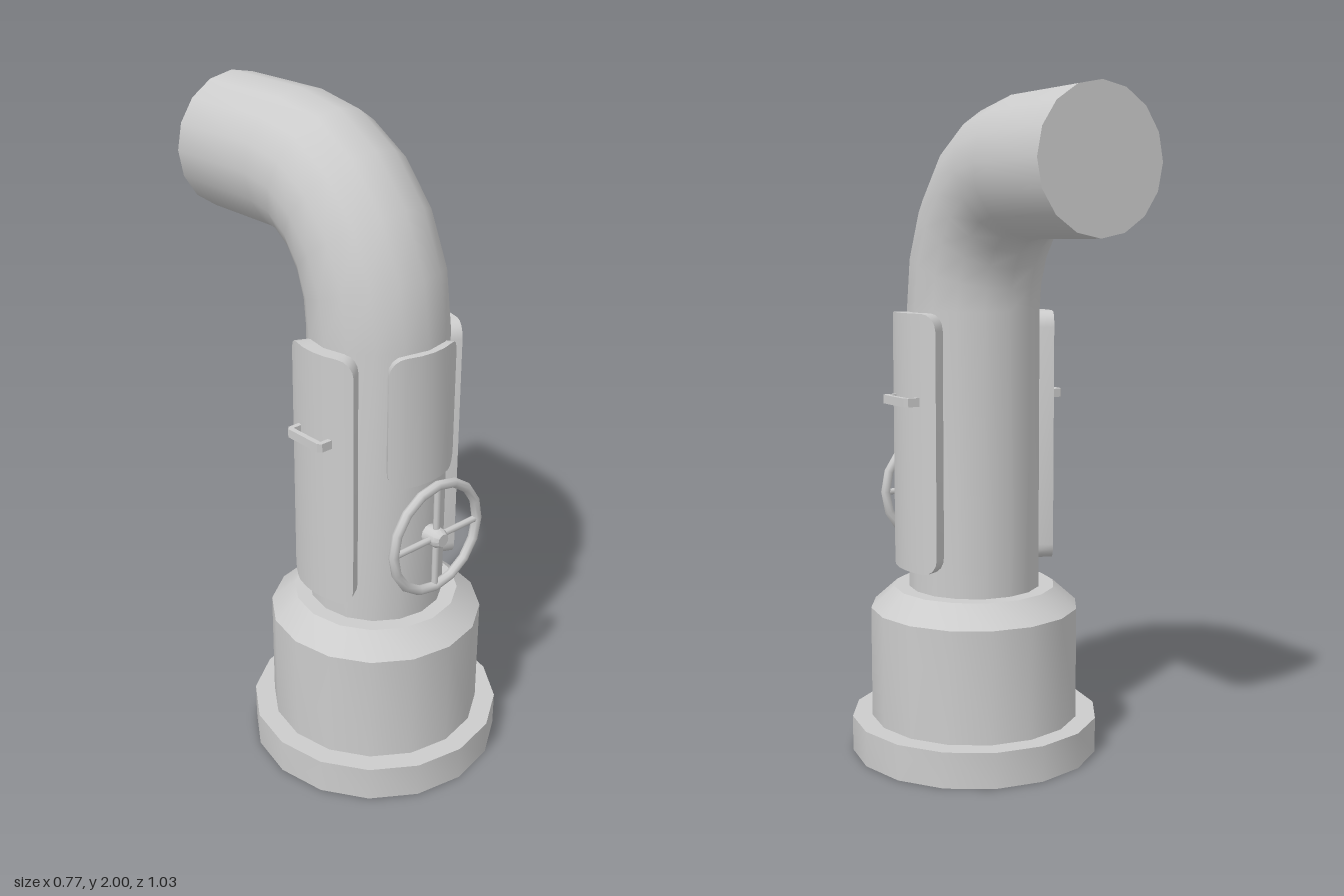
import * as THREE from 'three';
import { toCreasedNormals } from 'three/addons/utils/BufferGeometryUtils.js';

const SIDES = 16;
const AXIS_Z = 0.13; // the upright column stands forward of centre
const PIPE_R = 0.205;

// Solid from equal-length convex rings, each counter-clockwise about the travel direction
function loft(rings, crease = 0.6) {
  const n = rings[0].length, index = [];
  for (let k = 0; k < rings.length - 1; k++) {
    for (let i = 0; i < n; i++) {
      const a = k * n + i, b = k * n + (i + 1) % n;
      index.push(a, b, b + n, a, b + n, a + n);
    }
  }
  const last = (rings.length - 1) * n;
  for (let i = 1; i < n - 1; i++) index.push(0, i + 1, i, last, last + i, last + i + 1);
  const geo = new THREE.BufferGeometry();
  geo.setAttribute('position', new THREE.Float32BufferAttribute(rings.flat(2), 3));
  geo.setIndex(index);
  return toCreasedNormals(geo, crease);
}

// Upright pipe, elbow and horizontal outlet
function pipeGeometry() {
  const cy = 1.38, cz = -0.2, a = AXIS_Z - cz, b = 0.415, steps = 5;
  const ring = (phi, dy, dz) => Array.from({ length: SIDES }, (_, i) => {
    const t = (i / SIDES) * Math.PI * 2, out = PIPE_R * Math.cos(t);
    return [
      PIPE_R * Math.sin(t),
      cy + dy + (b + out) * Math.sin(phi),
      cz + dz + (a + out) * Math.cos(phi),
    ];
  });
  const rings = [ring(0, 0.5 - cy, 0)];
  for (let k = 0; k <= steps; k++) rings.push(ring((k / steps) * Math.PI / 2, 0, 0));
  rings.push(ring(Math.PI / 2, 0, -0.515 - cz));
  return loft(rings);
}

// Curved plate with rounded corners, wrapped round the column and facing +z
function panelGeometry(rOut, halfWidth, y0, y1) {
  const rIn = 0.19, c = 0.05, half = Math.asin(halfWidth / rOut), w = half * rOut;
  const left = [];
  for (let k = 0; k <= 4; k++) {
    const t = (k / 4) * Math.PI / 2;
    left.push([-w + c * (1 - Math.cos(t)), c * (1 - Math.sin(t))]);
  }
  const middle = [-0.5, 0, 0.5].map((f) => [f * (w - c), 0]);
  const right = left.map(([u, inset]) => [-u, inset]).reverse();
  return loft([...left, ...middle, ...right].map(([u, inset]) => {
    const s = Math.sin(u / rOut), co = Math.cos(u / rOut);
    const top = y1 - inset, bottom = y0 + inset;
    return [
      [rOut * s, top, rOut * co], [rOut * s, bottom, rOut * co],
      [rIn * s, bottom, rIn * co], [rIn * s, top, rIn * co],
    ];
  }));
}

// Flat U-shaped grab handle reaching out along +x
function handleGeometry() {
  const shape = new THREE.Shape([
    [0.23, -0.073], [0.272, -0.073], [0.282, -0.063], [0.282, 0.063], [0.272, 0.073], [0.23, 0.073],
    [0.23, 0.058], [0.266, 0.058], [0.266, -0.058], [0.23, -0.058],
  ].map(([x, y]) => new THREE.Vector2(x, y)));
  const geo = new THREE.ExtrudeGeometry(shape, { depth: 0.026, bevelEnabled: false });
  return geo.translate(0, 0, -0.013).rotateX(Math.PI / 2);
}

export function createModel() {
  const group = new THREE.Group();
  const material = new THREE.MeshStandardMaterial({ color: 0xcccccc });
  const add = (name, geo, parent = group) => {
    const mesh = new THREE.Mesh(geo, material);
    mesh.name = name;
    parent.add(mesh);
    return mesh;
  };

  // Stepped base: flange, drum and chamfered collar
  const profile = [
    [0, 0], [0.387, 0], [0.387, 0.11], [0.325, 0.11], [0.325, 0.457], [0.252, 0.522], [0, 0.522],
  ].map(([r, y]) => new THREE.Vector2(r, y));
  const base = add('base', toCreasedNormals(new THREE.LatheGeometry(profile, SIDES), 0.6));
  base.position.z = AXIS_Z;

  add('bentPipe', pipeGeometry());

  // Plates round the column
  const front = add('frontPanel', panelGeometry(0.225, 0.13, 0.975, 1.375));
  front.position.z = AXIS_Z;
  for (const [side, sign] of [['left', 1], ['right', -1]]) {
    const panel = add(side + 'Panel', panelGeometry(0.247, 0.13, 0.595, 1.375));
    panel.position.z = AXIS_Z;
    panel.rotation.y = sign * Math.PI / 2;
    const handle = add(side + 'Handle', handleGeometry());
    handle.position.set(0, 1.115, AXIS_Z - 0.003);
    if (sign < 0) handle.rotation.y = Math.PI;
  }

  // Valve wheel on the front
  const wheel = new THREE.Group();
  wheel.name = 'valveWheel';
  wheel.position.set(0.015, 0.793, 0.37);
  group.add(wheel);
  add('wheelRim', new THREE.TorusGeometry(0.17, 0.015, 8, SIDES), wheel);
  for (let k = 0; k < 2; k++) {
    const spoke = add('wheelSpoke', new THREE.CylinderGeometry(0.01, 0.01, 0.335, 8), wheel);
    spoke.rotation.z = k * Math.PI / 2;
  }
  const hubProfile = [
    [0, -0.06], [0.02, -0.06], [0.02, -0.035], [0.03, -0.03], [0.03, 0.014], [0.02, 0.03], [0, 0.03],
  ].map(([r, y]) => new THREE.Vector2(r, y));
  const hub = new THREE.LatheGeometry(hubProfile, 12).rotateX(Math.PI / 2);
  add('wheelHub', toCreasedNormals(hub, 0.6), wheel);

  return group;
}
